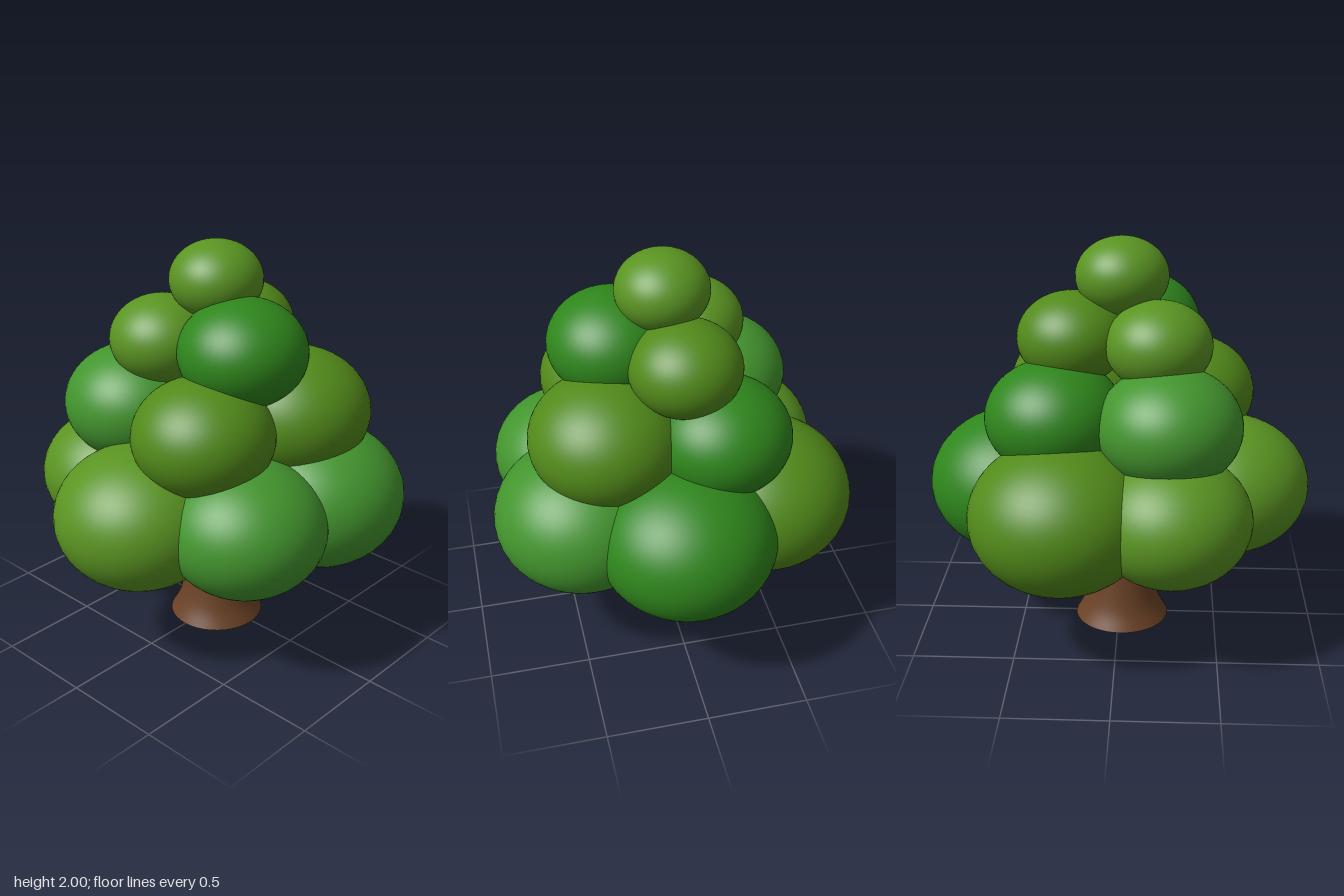
import * as THREE from 'three';

const GREENS = { light: 0x5a9422, olive: 0x528a1a, dark: 0x2f861c, fresh: 0x43952e };
const SQUASH = 0.83; // height of a clump relative to its width

// Each clump: [x, z, radius, colour]
const TIERS = [
  { name: 'lowerFoliage', y: 0.755, clumps: [
    [-0.54, -0.01, 0.415, 'light'],
    [0.515, 0, 0.44, 'dark'],
    [-0.285, 0.435, 0.393, 'fresh'],
    [0.23, 0.457, 0.432, 'fresh'],
    [0.258, -0.45, 0.443, 'olive'],
    [-0.265, -0.465, 0.385, 'light'],
  ] },
  { name: 'middleFoliage', y: 1.172, clumps: [
    [-0.34, 0.22, 0.34, 'olive'],
    [0.2, 0.32, 0.375, 'olive'],
    [0.3, -0.22, 0.337, 'dark'],
    [-0.25, -0.338, 0.347, 'fresh'],
  ] },
  { name: 'upperFoliage', y: 1.523, clumps: [
    [-0.087, 0.235, 0.31, 'dark'],
    [0.222, -0.057, 0.27, 'olive'],
    [-0.195, -0.187, 0.256, 'light'],
  ] },
  { name: 'crownFoliage', y: 1.813, clumps: [[-0.015, 0, 0.226, 'light']] },
];

export function createModel() {
  const tree = new THREE.Group();
  tree.name = 'tree';

  // Flared trunk, closed underneath
  const bark = new THREE.MeshStandardMaterial({ color: 0x6b4226 });
  const flare = new THREE.SplineCurve([
    [0.24, 0], [0.195, 0.09], [0.165, 0.22], [0.143, 0.38], [0.128, 0.55], [0.11, 0.85], [0.09, 1.2],
  ].map(([r, y]) => new THREE.Vector2(r, y)));
  const trunk = new THREE.Mesh(new THREE.LatheGeometry(flare.getPoints(28), 40), bark);
  trunk.name = 'trunk';
  const base = new THREE.Mesh(new THREE.CircleGeometry(0.24, 40).rotateX(Math.PI / 2), bark);
  base.name = 'trunkBase';
  trunk.position.x = base.position.x = -0.015;
  tree.add(trunk, base);

  // Tiers of overlapping, slightly flattened leaf clumps
  const ball = new THREE.SphereGeometry(1, 48, 32);
  const leaves = {};
  for (const key in GREENS) leaves[key] = new THREE.MeshStandardMaterial({ color: GREENS[key] });
  for (const { name, y, clumps } of TIERS) {
    const tier = new THREE.Group();
    tier.name = name;
    for (const [x, z, r, colour] of clumps) {
      const clump = new THREE.Mesh(ball, leaves[colour]);
      clump.name = 'leafClump';
      clump.position.set(x, y, z);
      clump.scale.set(r, r * SQUASH, r);
      tier.add(clump);
    }
    tree.add(tier);
  }
  return tree;
}
